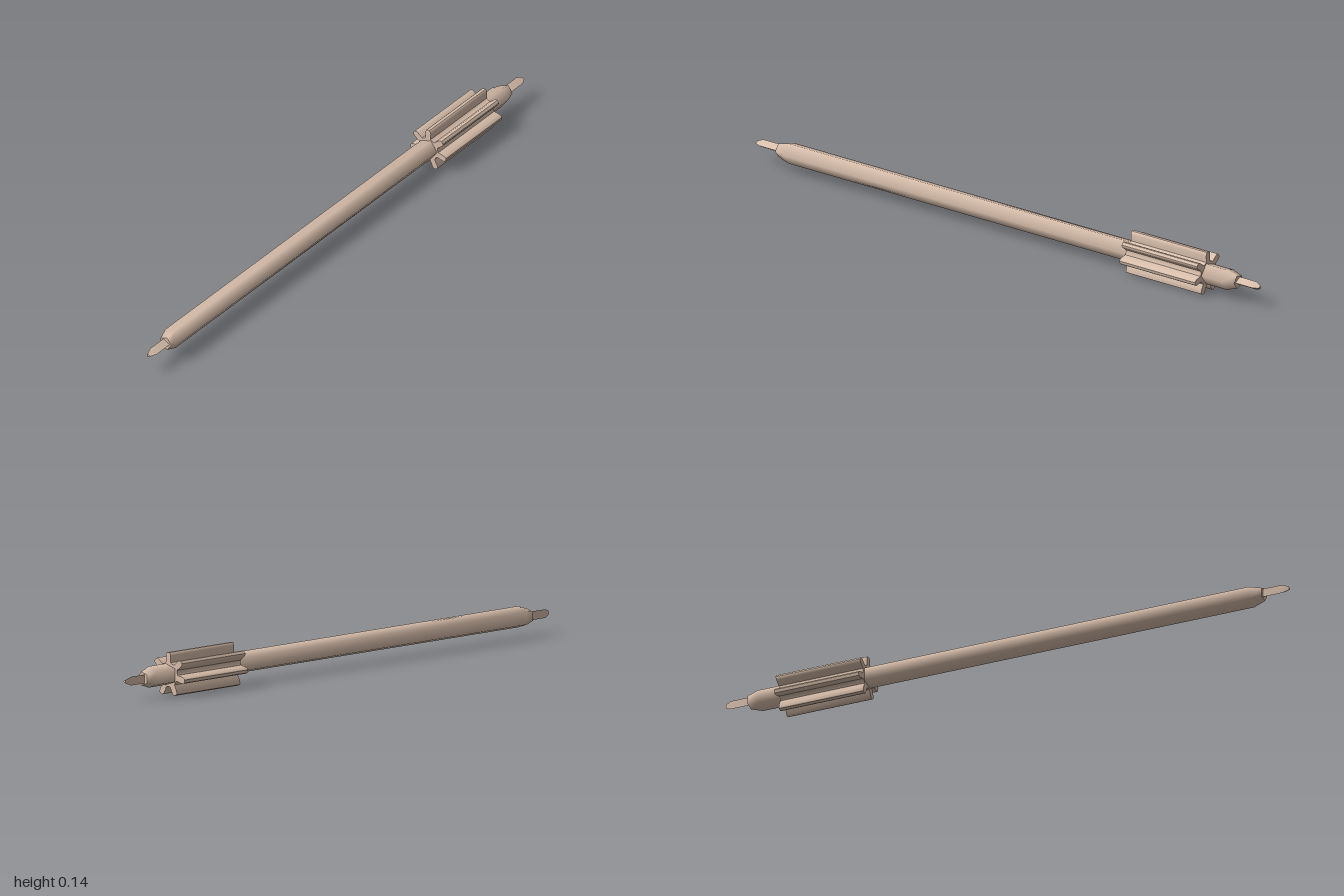
import * as THREE from 'three';
import { toCreasedNormals } from 'three/addons/utils/BufferGeometryUtils.js';

const AXIS_Y = 0.067;
const material = new THREE.MeshStandardMaterial({ color: 0xd9bfac });

// Few-sided turned part along z, with one corner towards +x; profile is [radius, z]
function turned(name, profile, sides) {
  const points = profile.map(([r, z]) => new THREE.Vector2(r, z));
  const geometry = new THREE.LatheGeometry(points, sides, Math.PI / 2);
  geometry.rotateX(Math.PI / 2);
  const mesh = new THREE.Mesh(toCreasedNormals(geometry, 1.3), material);
  mesh.name = name;
  return mesh;
}

// Toothed wheel outline: one tooth points straight up
function pinionShape(teeth) {
  const shape = new THREE.Shape();
  const tooth = [[0.039, -0.01], [0.061, -0.0105], [0.068, -0.0085], [0.071, -0.005],
    [0.071, 0.005], [0.068, 0.0085], [0.061, 0.0105], [0.039, 0.01]];
  const points = [];
  for (let i = 0; i < teeth; i++) {
    const a = Math.PI / 2 + (i * 2 * Math.PI) / teeth;
    for (const [r, t] of tooth) {
      points.push(new THREE.Vector2(r * Math.cos(a) - t * Math.sin(a), r * Math.sin(a) + t * Math.cos(a)));
    }
    // Valley between two teeth
    const v = a + Math.PI / teeth;
    points.push(new THREE.Vector2(0.038 * Math.cos(v), 0.038 * Math.sin(v)));
  }
  shape.setFromPoints(points);
  return shape;
}

export function createModel() {
  const group = new THREE.Group();
  group.name = 'pinionArbor';

  // Long five-sided shaft with chamfered ends
  const shaft = turned('shaft', [[0, -0.915], [0.023, -0.915], [0.036, -0.875],
    [0.036, 0.87], [0.023, 0.91], [0, 0.91]], 5);

  // Thin three-sided pivots at both ends
  const front = turned('frontPivot', [[0.016, 0.9], [0.016, 0.98], [0.007, 1], [0, 1]], 3);
  const back = turned('backPivot', [[0, -1], [0.007, -1], [0.016, -0.98], [0.016, -0.9]], 3);

  // Seven-leaf pinion near the back
  const geometry = new THREE.ExtrudeGeometry(pinionShape(7), { depth: 0.3, bevelEnabled: false });
  geometry.translate(0, 0, -0.795);
  const pinion = new THREE.Mesh(toCreasedNormals(geometry, 0.7), material);
  pinion.name = 'pinion';

  for (const part of [shaft, front, back, pinion]) {
    part.position.y = AXIS_Y;
    group.add(part);
  }
  return group;
}
